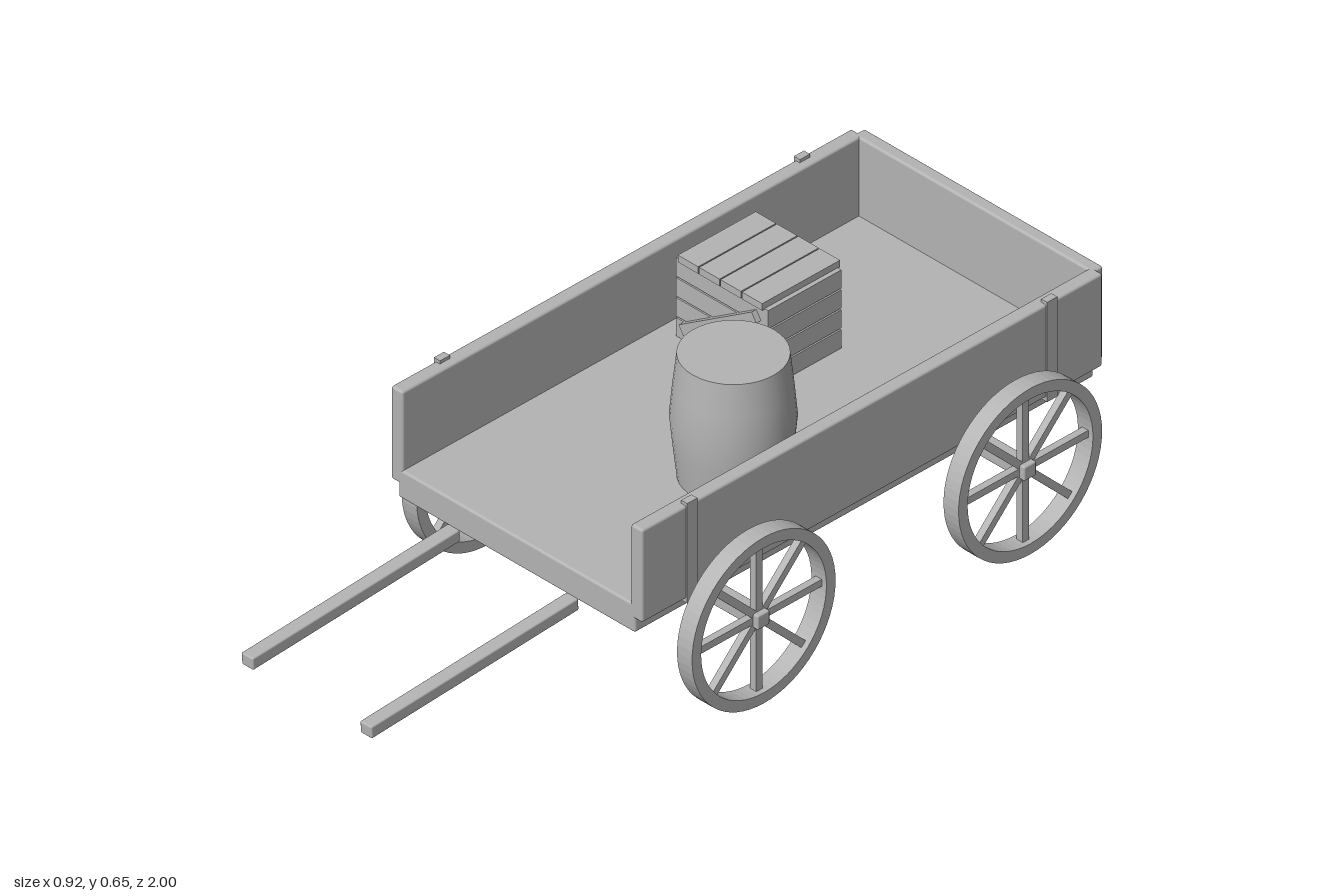
import * as THREE from 'three';
import { RoundedBoxGeometry } from 'three/addons/geometries/RoundedBoxGeometry.js';

export function createModel() {
  const cart = new THREE.Group();
  cart.name = 'handCart';
  const grey = new THREE.MeshStandardMaterial({ color: 0xb4b4b4 });
  grey.name = 'plainGrey';

  const add = (parent, name, geometry) => {
    const mesh = new THREE.Mesh(geometry, grey);
    mesh.name = name;
    parent.add(mesh);
    return mesh;
  };
  // Box given by its limits on each axis, with an optional softened edge
  const box = (parent, name, [x0, x1], [y0, y1], [z0, z1], r = 0) => {
    const size = [x1 - x0, y1 - y0, z1 - z0];
    const geometry = r ? new RoundedBoxGeometry(...size, 2, r) : new THREE.BoxGeometry(...size);
    const mesh = add(parent, name, geometry);
    mesh.position.set((x0 + x1) / 2, (y0 + y1) / 2, (z0 + z1) / 2);
    return mesh;
  };

  // Bed, walls and tailboard
  box(cart, 'bed', [-0.355, 0.355], [0.264, 0.336], [-0.975, 0.38], 0.006);
  box(cart, 'tailboard', [-0.358, 0.358], [0.3, 0.537], [-1, -0.968], 0.006);
  for (const s of [-1, 1]) {
    const xs = (a, b) => (s > 0 ? [a, b] : [-b, -a]);
    box(cart, 'sideWall', xs(0.342, 0.377), [0.3, 0.537], [-0.98, 0.38], 0.006);
    for (const z of [0.235, -0.828]) {
      box(cart, 'sideStrap', xs(0.362, 0.38), [0.29, 0.545], [z - 0.015, z + 0.015]);
    }
    // Sloping pull shafts
    const shaft = add(cart, 'pullShaft', new RoundedBoxGeometry(0.035, 0.031, 0.613, 2, 0.004));
    shaft.position.set(s * 0.178, 0.247, 0.694);
    shaft.rotation.x = 0.056;
  }

  // Wheel: flat rim with four bars crossing at the hub
  const rimShape = new THREE.Shape().absarc(0, 0, 0.212, 0, Math.PI * 2);
  rimShape.holes.push(new THREE.Path().absarc(0, 0, 0.185, 0, Math.PI * 2, true));
  const rimGeometry = new THREE.ExtrudeGeometry(rimShape, { depth: 0.045, bevelEnabled: false, curveSegments: 32 });
  rimGeometry.translate(0, 0, -0.0225).rotateY(Math.PI / 2);
  const spokeGeometry = new THREE.BoxGeometry(0.018, 0.418, 0.018);
  for (const z of [0.1, -0.687]) {
    box(cart, 'axle', [-0.46, 0.458], [0.194, 0.23], [z - 0.018, z + 0.018], 0.004);
    for (const x of [-0.391, 0.435]) {
      const wheel = new THREE.Group();
      wheel.name = 'wheel';
      wheel.position.set(x, 0.212, z);
      add(wheel, 'rim', rimGeometry);
      for (let i = 0; i < 4; i++) {
        add(wheel, 'spokePair', spokeGeometry).rotation.x = i * Math.PI / 4;
      }
      cart.add(wheel);
    }
  }

  // Barrel with bulging staves and flat ends
  const barrel = new THREE.Group();
  barrel.name = 'barrel';
  barrel.position.set(0.153, 0.336, -0.11);
  const profile = [[0.12, 0], [0.129, 0.08], [0.136, 0.153], [0.129, 0.23], [0.12, 0.31]]
    .map(([r, y]) => new THREE.Vector2(r, y));
  add(barrel, 'staves', new THREE.LatheGeometry(profile, 40));
  for (const [y, turn] of [[0.31, -1], [0, 1]]) {
    const end = add(barrel, 'barrelEnd', new THREE.CircleGeometry(0.12, 40));
    end.position.y = y;
    end.rotation.x = turn * Math.PI / 2;
  }
  cart.add(barrel);

  // Slatted crate
  const crate = new THREE.Group();
  crate.name = 'crate';
  crate.position.set(-0.155, 0.336, -0.488);
  box(crate, 'crateCore', [-0.13, 0.13], [0.002, 0.2], [-0.1, 0.1]);
  for (let i = 0; i < 4; i++) {
    const ys = [i * 0.051 + 0.002, i * 0.051 + 0.049];
    for (const s of [-1, 1]) {
      box(crate, 'crateSlat', [-0.138, 0.138], ys, s > 0 ? [0.096, 0.108] : [-0.108, -0.096]);
      box(crate, 'crateEndSlat', s > 0 ? [0.126, 0.138] : [-0.138, -0.126], ys, [-0.096, 0.096]);
    }
    const x = -0.126 + i * 0.064;
    box(crate, 'lidPlank', [x, x + 0.061], [0.2, 0.218], [-0.115, 0.115]);
  }
  // Diagonal braces on both long faces
  for (const s of [-1, 1]) {
    const brace = add(crate, 'crateBrace', new THREE.BoxGeometry(0.26, 0.026, 0.014));
    brace.position.set(0, 0.107, s * 0.115);
    brace.rotation.z = 0.57;
  }
  cart.add(crate);

  return cart;
}
